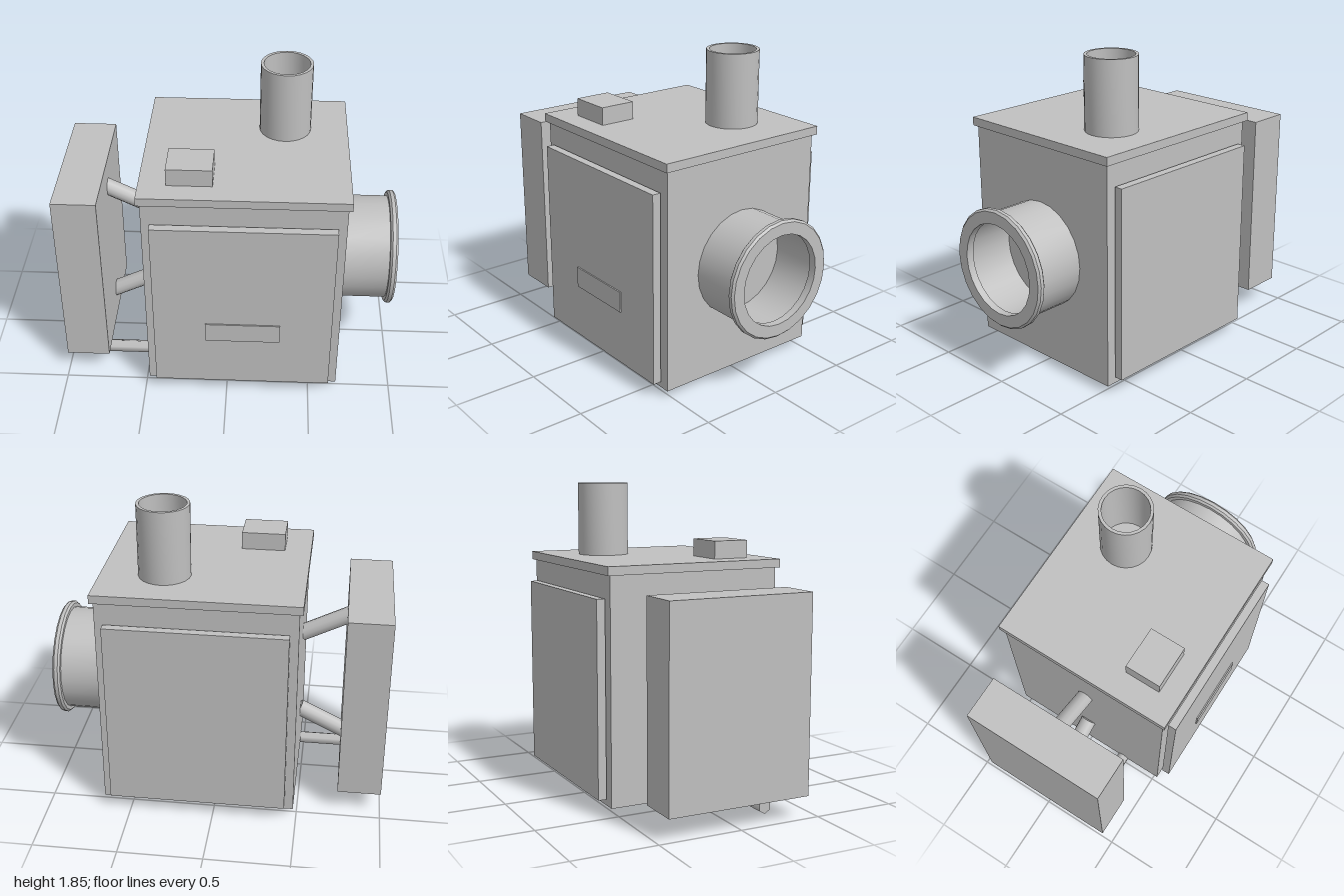
import * as THREE from 'three';
import { toCreasedNormals } from 'three/addons/utils/BufferGeometryUtils.js';

export function createModel() {
  const model = new THREE.Group();
  model.name = 'airUnit';
  const steel = new THREE.MeshStandardMaterial({ name: 'steelGrey', color: 0xc0c0c0 });
  const ZC = -0.005; // depth centre of the cabinet

  const add = (name, geometry) => {
    const mesh = new THREE.Mesh(geometry, steel);
    mesh.name = name;
    model.add(mesh);
    return mesh;
  };
  // Box given by its extents along each axis
  const box = (name, [x0, x1], [y0, y1], [z0, z1]) =>
    add(name, new THREE.BoxGeometry(x1 - x0, y1 - y0, z1 - z0))
      .position.set((x0 + x1) / 2, (y0 + y1) / 2, (z0 + z1) / 2);
  // Hollow turned part from a closed profile of [radius, height]
  const ring = (name, profile) => {
    const points = [...profile, profile[0]].map(([r, h]) => new THREE.Vector2(r, h));
    return add(name, toCreasedNormals(new THREE.LatheGeometry(points, 24), 0.5));
  };
  const tube = (outer, inner, h0, h1) => [[outer, h0], [outer, h1], [inner, h1], [inner, h0]];

  // Cabinet and lid
  box('cabinet', [-0.48, 0.67], [0.045, 1.36], [ZC - 0.53, ZC + 0.53]);
  box('lid', [-0.5, 0.69], [1.36, 1.41], [ZC - 0.55, ZC + 0.55]);

  // Front and back access panels, standing just clear of the cabinet
  for (const [name, side] of [['frontPanel', 1], ['backPanel', -1]]) {
    const z = ZC + side * 0.564;
    box(name, [-0.43, 0.62], [0.087, 1.228], [z - 0.025, z + 0.025]);
  }
  box('namePlate', [-0.125, 0.315], [0.42, 0.547], [0.583, 0.592]);

  // Lid fittings
  box('junctionBox', [-0.343, -0.082], [1.41, 1.515], [0.195, 0.413]);
  ring('exhaustStack', tube(0.153, 0.135, 1.41, 1.845)).position.set(0.317, 0, -0.224);

  // Side duct with chamfered flange
  const duct = ring('sideDuct', tube(0.315, 0.29, 0.66, 0.965));
  const flange = ring('ductFlange', [
    [0.268, 0.955], [0.338, 0.955], [0.35, 0.967], [0.35, 0.988], [0.338, 1], [0.268, 1],
  ]);
  for (const part of [duct, flange]) {
    part.rotation.z = -Math.PI / 2;
    part.position.set(0, 0.704, ZC);
  }

  // Side control box on two sloping struts
  box('controlBox', [-1, -0.74], [0.13, 1.275], [ZC - 0.437, ZC + 0.437]);
  for (const [name, side] of [['upperStrut', 1], ['lowerStrut', -1]]) {
    const outer = new THREE.Vector3(-0.8, 0.703 + side * 0.428, ZC);
    const inner = new THREE.Vector3(-0.473, 0.703 + side * 0.265, ZC);
    const strut = add(name, new THREE.CylinderGeometry(0.05, 0.05, outer.distanceTo(inner), 12));
    strut.position.copy(outer).lerp(inner, 0.5);
    strut.quaternion.setFromUnitVectors(new THREE.Vector3(0, 1, 0), inner.clone().sub(outer).normalize());
  }

  // Six-sided drain pipe with a corner at the bottom
  const drain = add('drainPipe',
    new THREE.CylinderGeometry(0.04, 0.04, 0.345, 6, 1, false, Math.PI / 2));
  drain.rotation.z = Math.PI / 2;
  drain.position.set(-0.6525, 0.04, 0.258);

  return model;
}
